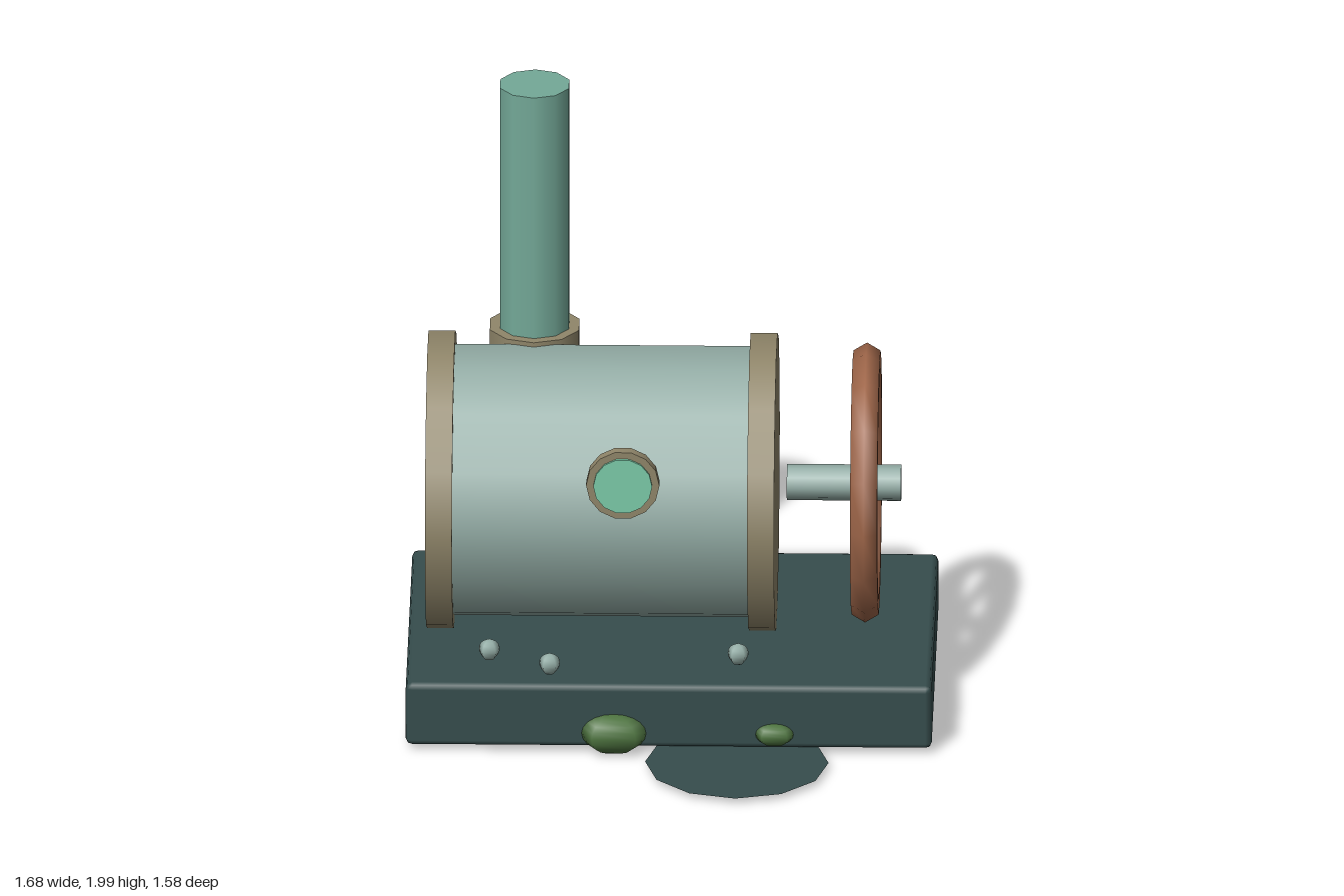
import * as THREE from 'three';
import { RoundedBoxGeometry } from 'three/addons/geometries/RoundedBoxGeometry.js';

const mat = (name, color) => {
  const m = new THREE.MeshStandardMaterial({ color });
  m.name = name;
  return m;
};

export function createModel() {
  const slate = mat('slate', 0x364d4d);
  const steel = mat('pale steel', 0x94ada6);
  const bronze = mat('dull bronze', 0x90866a);
  const verdigris = mat('verdigris', 0x74a998);
  const rust = mat('rust', 0xa0674a);
  const glassGreen = mat('glass green', 0x7ccba9);
  const moss = mat('moss', 0x4e7440);

  const model = new THREE.Group();
  model.name = 'steamEngine';
  const add = (name, geometry, material, x, y, z, parent = model) => {
    const mesh = new THREE.Mesh(geometry, material);
    mesh.name = name;
    mesh.position.set(x, y, z);
    parent.add(mesh);
    return mesh;
  };
  // Cylinder lying along x, with a corner pointing to +z
  const axle = (r, length, sides) => new THREE.CylinderGeometry(r, r, length, sides).rotateZ(Math.PI / 2);
  // Five-sided blob with its corner toward the back
  const blob = (rx, ry, rz) => new THREE.SphereGeometry(1, 5, 10).rotateY(-Math.PI / 2).scale(rx, ry, rz);

  const axisY = 0.72, axisZ = -0.16;

  // Chamfered plinth and the puddle in front of it
  add('base', new RoundedBoxGeometry(1.68, 0.215, 1.1, 1, 0.02), slate, 0, 0.1325, -0.167);
  const puddle = add('puddle', new THREE.CircleGeometry(0.293, 12).rotateX(-Math.PI / 2), slate, 0.22, 0.027, 0.497);
  puddle.material = slate;
  slate.side = THREE.DoubleSide;

  // Boiler with a band at each end
  add('boiler', axle(0.44, 1.0, 14), steel, -0.22, axisY, axisZ);
  for (const x of [-0.737, 0.292]) {
    add('boilerBand', axle(0.483, 0.086, 14), bronze, x, axisY, axisZ);
  }

  // Chimney and collar
  add('chimney', new THREE.CylinderGeometry(0.116, 0.116, 1.05, 10), verdigris, -0.443, 1.475, -0.386);
  add('chimneyCollar', new THREE.CylinderGeometry(0.15, 0.15, 0.074, 10), bronze, -0.443, 1.127, -0.386);

  // Round window on the boiler's front
  const disc = (r, depth) => new THREE.CylinderGeometry(r, r, depth, 14).rotateX(Math.PI / 2).rotateZ(Math.PI / 2);
  add('windowRim', disc(0.117, 0.038), bronze, -0.148, 0.905, 0.29);
  add('windowGlass', disc(0.094, 0.009), glassGreen, -0.148, 0.905, 0.3135);

  // Flywheel on its shaft
  const wheel = new THREE.Group();
  wheel.name = 'flywheel';
  wheel.position.set(0.62, axisY, axisZ);
  model.add(wheel);
  add('wheelRim', new THREE.TorusGeometry(0.397, 0.05, 6, 16).rotateY(Math.PI / 2), rust, 0, 0, 0, wheel);
  for (let i = 0; i < 3; i++) {
    const spoke = add('spokePair', new THREE.BoxGeometry(0.04, 0.043, 0.76), rust, 0, 0, 0, wheel);
    spoke.rotation.x = (i * Math.PI) / 3;
  }
  add('shaft', axle(0.058, 0.365, 10), steel, 0.55, axisY, axisZ);

  // Loose rivets in front of the boiler
  for (const [x, y] of [[-0.573, 0.366], [-0.38, 0.318], [0.222, 0.357]]) {
    add('rivet', blob(0.035, 0.035, 0.035), steel, x, y, 0.39);
  }

  // Moss clumps on the plinth: position, then radii
  const clumps = [
    [-0.175, 0.075, 0.385, 0.12, 0.066, 0.062],
    [0.338, 0.075, 0.385, 0.07, 0.037, 0.037],
    [-0.313, 0.08, -0.715, 0.15, 0.073, 0.075],
    [0.39, 0.08, -0.715, 0.093, 0.045, 0.05],
  ];
  for (const [x, y, z, rx, ry, rz] of clumps) {
    add('mossClump', blob(rx, ry, rz), moss, x, y, z);
  }

  return model;
}
